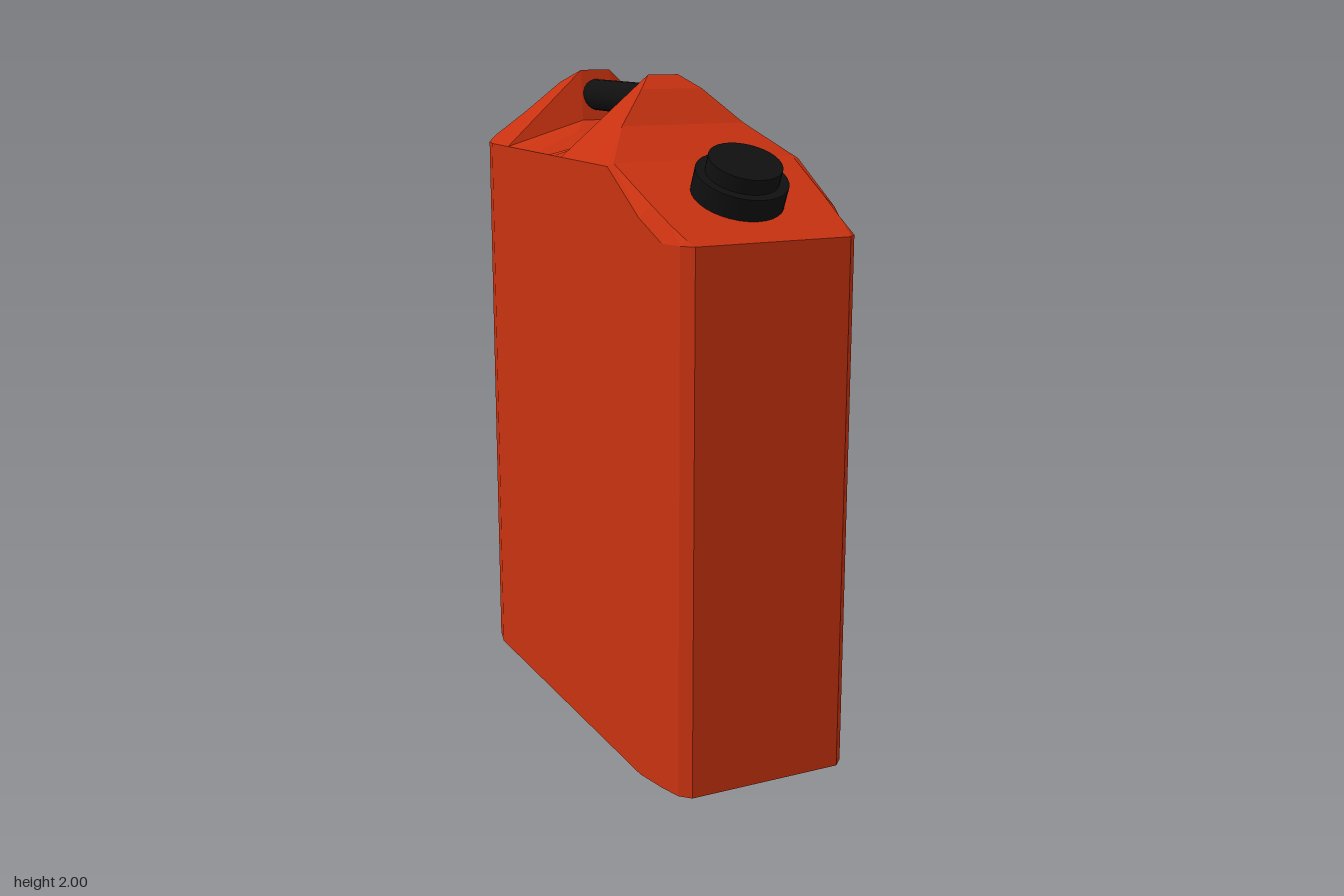
import * as THREE from 'three';

const red = new THREE.MeshStandardMaterial({ color: 0xc83210, flatShading: true });
red.name = 'red plastic';
const black = new THREE.MeshStandardMaterial({ color: 0x101010 });
black.name = 'black plastic';

// Cross-sections, front to back: side z, half width, shoulder y, crown z, crown half width, crown y
const sections = [
  [0.73, 0.24, 1.58, 0.73, 0.24, 1.58],
  [0.70, 0.27, 1.58, 0.70, 0.25, 1.594],
  [0.63, 0.29, 1.58, 0.63, 0.262, 1.626],
  [0.53, 0.31, 1.638, 0.53, 0.273, 1.672],
  [0.32, 0.31, 1.76, 0.32, 0.29, 1.768],
  // front hump
  [0.20, 0.31, 1.76, 0.18, 0.20, 1.86],
  [0.09, 0.31, 1.76, 0.10, 0.10, 1.96],
  [-0.02, 0.31, 1.76, 0.04, 0.05, 2.0],
  // hand hollow
  [-0.08, 0.31, 1.76, 0.0, 0.07, 1.84],
  [-0.12, 0.31, 1.76, -0.09, 0.11, 1.81],
  [-0.22, 0.31, 1.76, -0.23, 0.115, 1.78],
  [-0.36, 0.31, 1.76, -0.36, 0.11, 1.81],
  [-0.47, 0.31, 1.76, -0.435, 0.06, 1.84],
  // rear hump
  [-0.51, 0.31, 1.76, -0.47, 0.05, 2.0],
  [-0.56, 0.31, 1.76, -0.53, 0.10, 1.96],
  [-0.62, 0.31, 1.76, -0.62, 0.185, 1.865],
  [-0.70, 0.29, 1.76, -0.70, 0.27, 1.78],
  [-0.73, 0.24, 1.76, -0.73, 0.24, 1.76],
];

// Skin the cross-sections and close both ends
function bodyGeometry() {
  const positions = [];
  const index = [];
  const n = 6;
  for (const [sz, w, sy, cz, cw, cy] of sections) {
    positions.push(-w, 0, sz, -w, sy, sz, -cw, cy, cz, cw, cy, cz, w, sy, sz, w, 0, sz);
  }
  const last = (sections.length - 1) * n;
  for (let r = 0; r < last; r += n) {
    for (let j = 0; j < n; j++) {
      const k = (j + 1) % n;
      const a = r + j, b = r + k, c = r + n + k, d = r + n + j;
      // mirrored diagonals keep left and right alike
      if (j < 3) index.push(a, b, c, a, c, d);
      else index.push(a, b, d, b, c, d);
    }
  }
  for (let j = 1; j < n - 1; j++) {
    index.push(0, j + 1, j);
    index.push(last, last + j, last + j + 1);
  }
  const geometry = new THREE.BufferGeometry();
  geometry.setAttribute('position', new THREE.Float32BufferAttribute(positions, 3));
  geometry.setIndex(index);
  const flat = geometry.toNonIndexed();
  flat.computeVertexNormals();
  return flat;
}

function addMesh(parent, name, geometry, material) {
  const mesh = new THREE.Mesh(geometry, material);
  mesh.name = name;
  parent.add(mesh);
  return mesh;
}

export function createModel() {
  const can = new THREE.Group();
  can.name = 'fuelCan';
  addMesh(can, 'body', bodyGeometry(), red);

  // Grip bar between the two humps
  const handle = addMesh(can, 'handle', new THREE.CylinderGeometry(0.05, 0.05, 0.5, 24), black);
  handle.rotation.x = Math.PI / 2;
  handle.position.set(0, 1.92, -0.215);

  // Stepped screw cap, square to the sloping front
  const cap = new THREE.Group();
  cap.name = 'cap';
  cap.position.set(0, 1.68, 0.515);
  cap.rotation.x = Math.atan2(0.188, 0.41);
  can.add(cap);
  addMesh(cap, 'capFlange', new THREE.CylinderGeometry(0.134, 0.134, 0.07, 32), black).position.y = 0.031;
  addMesh(cap, 'capTop', new THREE.CylinderGeometry(0.106, 0.106, 0.05, 32), black).position.y = 0.087;

  return can;
}
